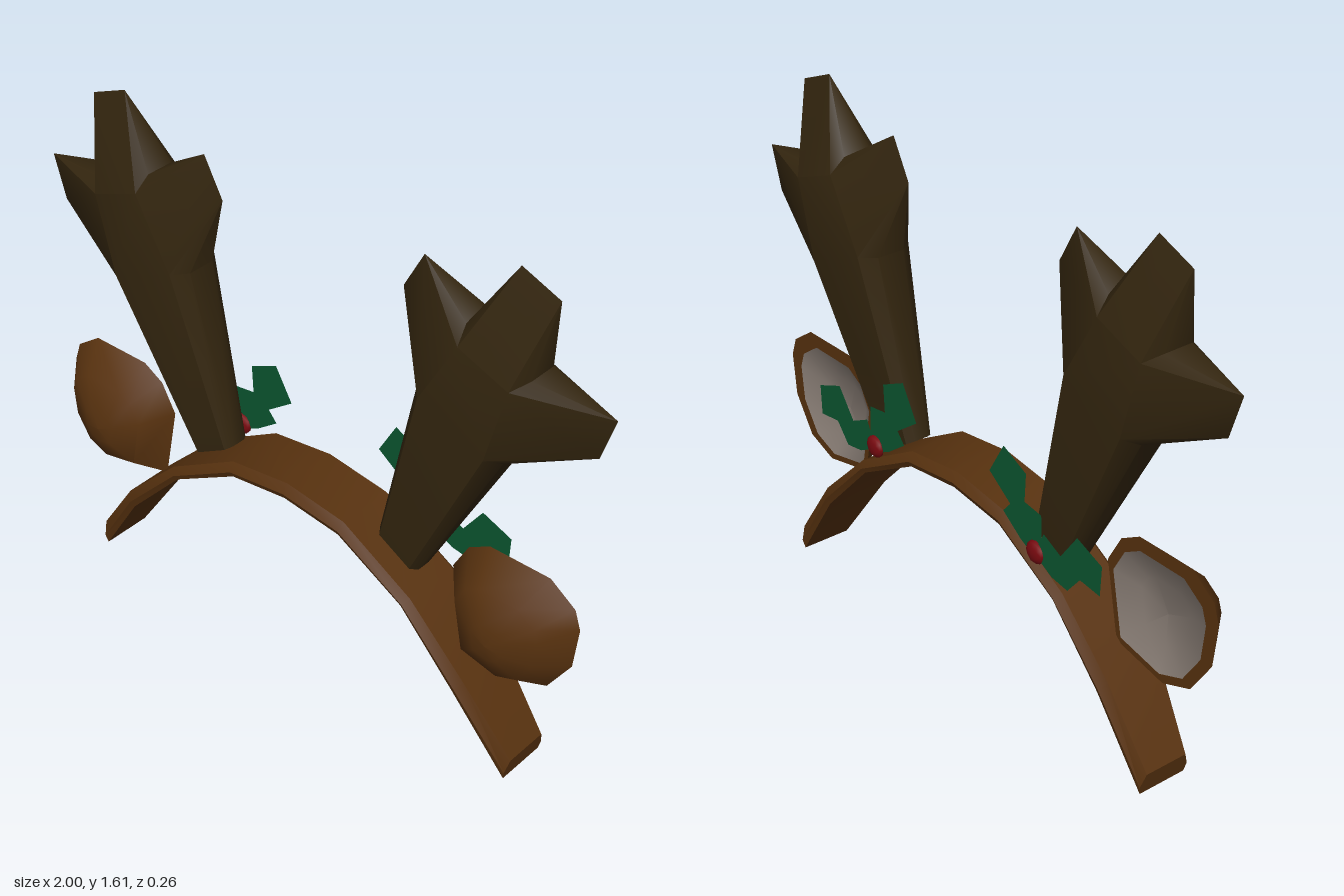
import * as THREE from 'three';
import { toCreasedNormals } from 'three/addons/utils/BufferGeometryUtils.js';

const mat = (name, color, side = THREE.FrontSide) => {
  const m = new THREE.MeshStandardMaterial({ color, side });
  m.name = name;
  return m;
};

// Collects triangles and quads given as point arrays
function builder() {
  const pos = [];
  const tri = (a, b, c) => pos.push(...a, ...b, ...c);
  const quad = (a, b, c, d) => { tri(a, b, c); tri(a, c, d); };
  const geometry = (crease) => {
    const g = new THREE.BufferGeometry();
    g.setAttribute('position', new THREE.Float32BufferAttribute(pos, 3));
    return toCreasedNormals(g, crease);
  };
  return { tri, quad, geometry };
}

// Skins consecutive closed loops of points
function skin(b, loops) {
  for (let s = 0; s + 1 < loops.length; s++) {
    const p = loops[s], q = loops[s + 1], n = p.length;
    for (let i = 0; i < n; i++) {
      const j = (i + 1) % n;
      b.quad(p[i], p[j], q[j], q[i]);
    }
  }
}

function mesh(name, geometry, material) {
  const m = new THREE.Mesh(geometry, material);
  m.name = name;
  return m;
}

// Arched band: a bevelled strip swept from one end to the other
function headbandGeometry() {
  // outer x, y, inner x, y, half width, centre z
  const half = [
    [0, 0.65, 0, 0.605, 0.112, -0.004],
    [0.21, 0.622, 0.2, 0.58, 0.112, -0.004],
    [0.455, 0.48, 0.43, 0.452, 0.112, -0.004],
    [0.65, 0.29, 0.622, 0.25, 0.112, -0.004],
    [0.805, 0.07, 0.79, 0.0, 0.087, -0.014],
  ];
  const path = [
    ...half.slice(1).reverse().map(([ox, oy, ix, iy, w, c]) => [-ox, oy, -ix, iy, w, c]),
    ...half,
  ];
  const section = [[1, -0.82], [1, 0.82], [0.4, 1], [0, 0.93], [0, -0.93], [0.4, -1]];
  const loops = path.map(([ox, oy, ix, iy, w, c]) =>
    section.map(([t, z]) => [ix + (ox - ix) * t, iy + (oy - iy) * t, c + w * z]));
  const b = builder();
  skin(b, loops);
  const first = loops[0], last = loops[loops.length - 1];
  for (let i = 1; i < 5; i++) {
    b.tri(first[0], first[i + 1], first[i]);
    b.tri(last[0], last[i], last[i + 1]);
  }
  return b.geometry(0.8);
}

// Antler: bevelled palm with three wedge-shaped tines
function antlerGeometry() {
  const zc = -0.01;
  // x, y, half depth, inset centre x, y
  const body = [
    [0.28, 0.6, 0.045, 0.35, 0.56],
    [0.41, 1.15, 0.09, 0.58, 1.15],
    [0.56, 1.41, 0.09, 0.6, 1.2],
    [0.77, 1.33, 0.09, 0.6, 1.2],
    [0.7, 1.04, 0.09, 0.55, 1.12],
    [0.42, 0.52, 0.045, 0.35, 0.56],
  ];
  const tines = {
    1: [[0.32, 1.4, zc], [0.385, 1.52, zc]],
    2: [[0.685, 1.61, zc], [0.81, 1.56, zc]],
    3: [[1.0, 1.295, zc], [0.957, 1.16, zc]],
  };
  const cols = body.map(([x, y, d, cx, cy]) => {
    const fx = x + (cx - x) * 0.22, fy = y + (cy - y) * 0.22;
    return [[fx, fy, zc + d], [x, y, zc + d * 0.5], [x, y, zc - d * 0.5], [fx, fy, zc - d]];
  });
  const b = builder();
  for (const q of [[5, 4, 1, 0], [4, 3, 2, 1]]) {
    b.quad(...q.map((i) => cols[i][0]));
    b.quad(...q.reverse().map((i) => cols[i][3]));
  }
  cols.forEach((p, i) => {
    const q = cols[(i + 1) % cols.length];
    if (tines[i]) {
      const [t, u] = tines[i];
      b.quad(p[0], q[0], u, t);
      b.quad(t, u, q[3], p[3]);
      for (let k = 0; k < 3; k++) {
        b.tri(p[k], t, p[k + 1]);
        b.tri(q[k], q[k + 1], u);
      }
    } else {
      for (let k = 0; k < 3; k++) b.quad(p[k], q[k], q[k + 1], p[k + 1]);
    }
  });
  return b.geometry(0.75);
}

// Ear: domed shell in front, pale hollow behind
const earOutline = [
  [0.53, 0.59], [0.58, 0.68], [0.65, 0.72], [0.85, 0.72], [0.935, 0.66], [0.955, 0.6],
  [0.94, 0.465], [0.865, 0.35], [0.76, 0.31], [0.575, 0.35],
];
const earRing = (s, z, cx = 0.74, cy = 0.5) =>
  earOutline.map(([x, y]) => [cx + (x - cx) * s, cy + (y - cy) * s, z]);

function earGeometry(rings) {
  const b = builder();
  skin(b, rings);
  return b.geometry(0.9);
}

// Holly leaf outlines
const leaves = {
  innerLeaf: [
    [0.37, 0.55], [0.3, 0.585], [0.225, 0.64], [0.255, 0.675], [0.165, 0.74], [0.225, 0.845],
    [0.32, 0.8], [0.315, 0.71], [0.385, 0.7], [0.39, 0.6],
  ],
  outerLeaf: [
    [0.36, 0.57], [0.4, 0.65], [0.47, 0.615], [0.535, 0.705], [0.635, 0.665],
    [0.63, 0.57], [0.55, 0.58], [0.5, 0.52], [0.435, 0.53],
  ],
};

export function createModel() {
  const brown = mat('band brown', 0x58320f);
  const dark = mat('antler brown', 0x34260f);
  const pale = mat('ear lining', 0x857a72);
  const green = mat('leaf green', 0x0b5630, THREE.DoubleSide);
  const red = mat('berry red', 0x7a0a10);

  const model = new THREE.Group();
  model.name = 'antlerHeadband';
  model.add(mesh('headband', headbandGeometry(), brown));

  const antler = antlerGeometry();
  const rim = earRing(0.84, 0, 0.67, 0.45);
  const shell = earGeometry([
    earRing(0.001, 0.125), earRing(0.25, 0.12), earRing(0.65, 0.085), earRing(1, 0), rim,
  ]);
  const lining = earGeometry([rim, earRing(0.45, 0.04, 0.7, 0.48), earRing(0.001, 0.05, 0.72, 0.49)]);
  const berry = new THREE.IcosahedronGeometry(0.036, 1);

  for (const [side, sign] of [['left', 1], ['right', -1]]) {
    const g = new THREE.Group();
    g.name = side + 'Side';
    g.scale.x = sign;
    g.add(mesh('antler', antler, dark), mesh('ear', shell, brown), mesh('earLining', lining, pale));
    for (const [name, pts] of Object.entries(leaves)) {
      const shape = new THREE.Shape(pts.map(([x, y]) => new THREE.Vector2(x, y)));
      const leaf = mesh(name, new THREE.ShapeGeometry(shape), green);
      leaf.position.z = name === 'innerLeaf' ? -0.114 : -0.117;
      g.add(leaf);
    }
    const fruit = mesh('berry', berry, red);
    fruit.position.set(0.365, 0.575, -0.115);
    fruit.scale.z = 0.45;
    g.add(fruit);
    model.add(g);
  }
  return model;
}
